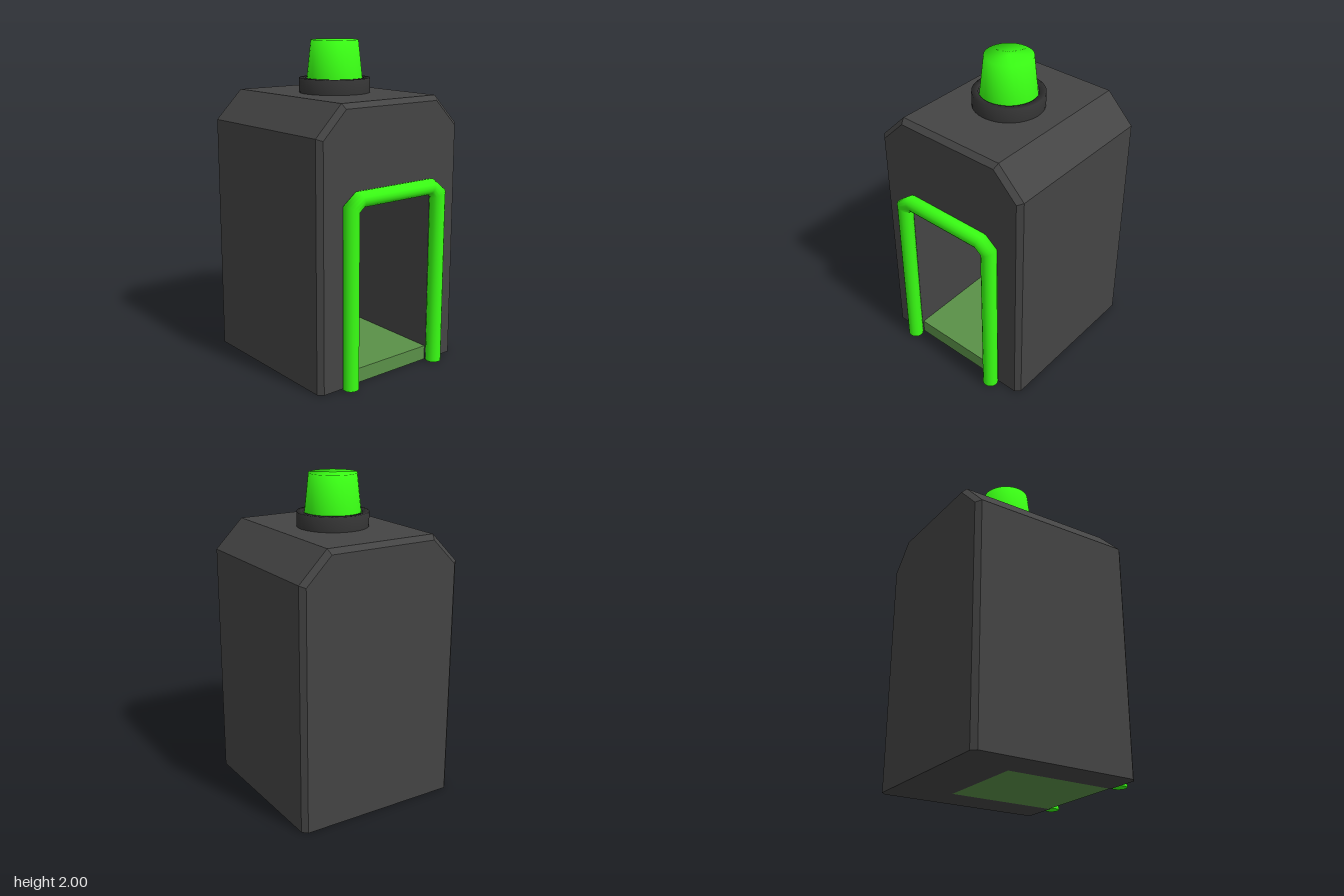
import * as THREE from 'three';

const V2 = (x, y) => new THREE.Vector2(x, y);
const material = (color) => new THREE.MeshStandardMaterial({ color });

function add(parent, name, geometry, mat) {
  const mesh = new THREE.Mesh(geometry, mat);
  mesh.name = name;
  parent.add(mesh);
  return mesh;
}

// Flat faces joining an open outline at zA to an outline at zB
function strip(outA, zA, outB, zB) {
  const pos = [];
  for (let i = 0; i < outA.length - 1; i++) {
    const a0 = [outA[i].x, outA[i].y, zA], a1 = [outA[i + 1].x, outA[i + 1].y, zA];
    const b0 = [outB[i].x, outB[i].y, zB], b1 = [outB[i + 1].x, outB[i + 1].y, zB];
    pos.push(...b0, ...a0, ...a1, ...b0, ...a1, ...b1);
  }
  const g = new THREE.BufferGeometry();
  g.setAttribute('position', new THREE.Float32BufferAttribute(pos, 3));
  g.computeVertexNormals();
  return g;
}

// Round bar swept along a path in the xy plane, with mitred corners
function mitredBar(path, r, sides) {
  const pos = [], index = [], last = path.length - 1;
  path.forEach((p, i) => {
    const before = p.clone().sub(path[Math.max(i - 1, 0)]).normalize();
    const after = path[Math.min(i + 1, last)].clone().sub(p).normalize();
    const t = before.clone().add(after).normalize();
    const cos = i === 0 || i === last ? 1 : t.dot(after);
    for (let k = 0; k <= sides; k++) {
      const a = (k % sides) / sides * Math.PI * 2;
      const w = Math.cos(a) * r / cos;
      pos.push(p.x + t.y * w, p.y - t.x * w, Math.sin(a) * r);
      if (i < last && k < sides) {
        const m = i * (sides + 1) + k, n = m + sides + 1;
        index.push(m, n, m + 1, m + 1, n, n + 1);
      }
    }
  });
  // outward order: first ring vector x, second z, path along y
  for (let i = 0; i < index.length; i += 3) [index[i + 1], index[i + 2]] = [index[i + 2], index[i + 1]];
  const g = new THREE.BufferGeometry();
  g.setAttribute('position', new THREE.Float32BufferAttribute(pos, 3));
  g.setIndex(index);
  g.computeVertexNormals();
  return g;
}

export function createModel() {
  const model = new THREE.Group();
  model.name = 'kiosk';
  const shellMat = material(0x444444);
  shellMat.flatShading = true;
  const collarMat = material(0x333333);
  const green = material(0x39ff14);
  const padMat = material(0x5a9048);
  // the mitred bar is closed, two-sided keeps its seams solid
  green.side = THREE.DoubleSide;

  // Shell: chamfered house outline with bevelled front and back edges
  const house = (w, y1, x2, y2) =>
    [V2(w, 0), V2(w, y1), V2(x2, y2), V2(-x2, y2), V2(-w, y1), V2(-w, 0)];
  const full = house(0.54, 1.5, 0.36, 1.68);
  const inset = house(0.51, 1.488, 0.348, 1.65);
  const zBack = -0.585, zFront = 0.5, bevel = 0.03;
  const doorX = 0.305, doorY = 1.1, doorZ = -0.22;
  const door = [V2(doorX, 0), V2(doorX, doorY), V2(-doorX, doorY), V2(-doorX, 0)];

  const shell = new THREE.Group();
  shell.name = 'shell';
  model.add(shell);
  add(shell, 'backBevel', strip(inset, zBack, full, zBack + bevel), shellMat);
  add(shell, 'wallsAndRoof', strip(full, zBack + bevel, full, zFront - bevel), shellMat);
  add(shell, 'frontBevel', strip(full, zFront - bevel, inset, zFront), shellMat);
  add(shell, 'backWall', new THREE.ShapeGeometry(new THREE.Shape(inset)).rotateY(Math.PI), shellMat).position.z = zBack;
  const frontOutline = [...inset, ...[...door].reverse()];
  add(shell, 'frontWall', new THREE.ShapeGeometry(new THREE.Shape(frontOutline)), shellMat).position.z = zFront;

  // Underside, notched where the floor pad sits
  const base = [
    V2(0.51, zFront), V2(doorX, zFront), V2(doorX, doorZ), V2(-doorX, doorZ), V2(-doorX, zFront),
    V2(-0.51, zFront), V2(-0.54, zFront - bevel), V2(-0.54, zBack + bevel), V2(-0.51, zBack),
    V2(0.51, zBack), V2(0.54, zBack + bevel), V2(0.54, zFront - bevel),
  ];
  add(shell, 'underside', new THREE.ShapeGeometry(new THREE.Shape(base)).rotateX(Math.PI / 2), shellMat);

  // Doorway recess
  add(shell, 'recessSides', strip(door, zFront, door, doorZ), shellMat);
  add(shell, 'recessBack', new THREE.ShapeGeometry(new THREE.Shape(door)), shellMat).position.z = doorZ;

  // Floor pad
  const padDepth = 0.49 - doorZ;
  add(model, 'floorPad', new THREE.BoxGeometry(doorX * 2, 0.09, padDepth), padMat)
    .position.set(0, 0.045, doorZ + padDepth / 2);

  // Door frame bar
  const frame = new THREE.Group();
  frame.name = 'doorFrame';
  frame.position.z = 0.535;
  model.add(frame);
  const r = 0.048, legX = 0.339;
  const path = [V2(-legX, 0.005), V2(-legX, 1.09), V2(-0.275, 1.14), V2(0.275, 1.14), V2(legX, 1.09), V2(legX, 0.005)];
  add(frame, 'frameBar', mitredBar(path, r, 16), green);
  for (const s of [-1, 1]) {
    add(frame, 'frameFoot', new THREE.CircleGeometry(r, 16).rotateX(Math.PI / 2), green)
      .position.set(s * legX, 0.005, 0);
  }

  // Beacon: recessed collar and tapered lamp, softly shaded over the rims
  const beacon = new THREE.Group();
  beacon.name = 'beacon';
  beacon.position.z = -0.042;
  model.add(beacon);
  const collar = [V2(0.22, 1.67), V2(0.22, 1.77), V2(0.18, 1.77), V2(0.18, 1.72), V2(0, 1.72)];
  add(beacon, 'beaconCollar', new THREE.LatheGeometry(collar, 32), collarMat);
  const lamp = [V2(0.178, 1.71), V2(0.172, 1.77), V2(0.147, 2), V2(0, 2)];
  add(beacon, 'beaconLamp', new THREE.LatheGeometry(lamp, 32), green);

  return model;
}
